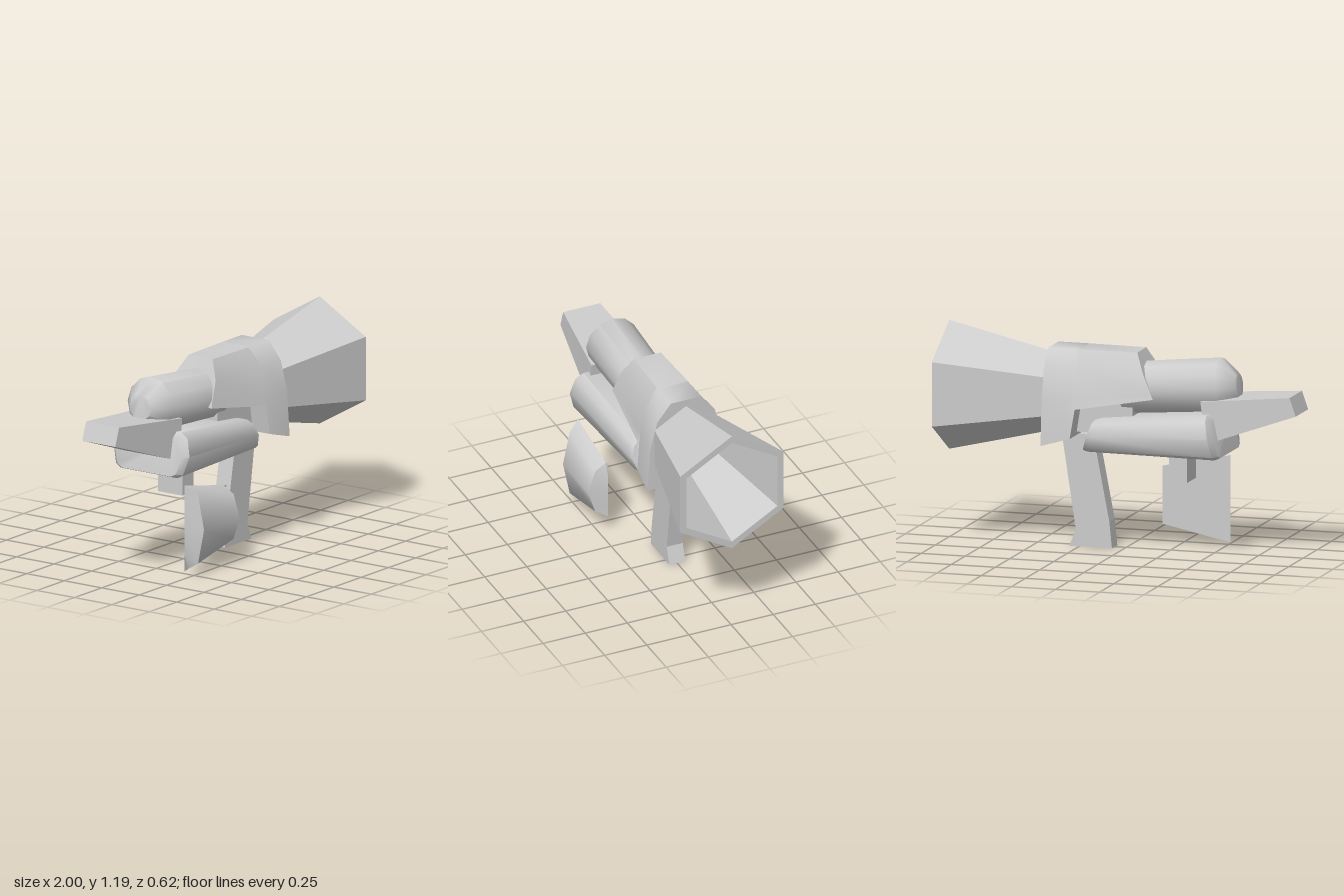
import * as THREE from 'three';
import { toCreasedNormals } from 'three/addons/utils/BufferGeometryUtils.js';

const FLAT = 0.1;

// Joins closed cross-sections (lists of [x, y, z]) running towards +x.
// Each loop runs top, +z side, bottom, -z side.
function loft(sections, crease = FLAT, caps = true) {
  const pos = [];
  const tri = (a, b, c) => pos.push(...a, ...b, ...c);
  const n = sections[0].length;
  for (let i = 0; i < sections.length - 1; i++) {
    for (let j = 0; j < n; j++) {
      const k = (j + 1) % n;
      const [a, b, c, d] = [sections[i][j], sections[i][k], sections[i + 1][k], sections[i + 1][j]];
      tri(a, b, c);
      tri(a, c, d);
    }
  }
  if (caps) {
    const s = sections[0], e = sections[sections.length - 1];
    for (let j = 1; j < n - 1; j++) {
      tri(s[0], s[j + 1], s[j]);
      tri(e[0], e[j], e[j + 1]);
    }
  }
  const g = new THREE.BufferGeometry();
  g.setAttribute('position', new THREE.Float32BufferAttribute(pos, 3));
  return toCreasedNormals(g, crease);
}

// Completes a half loop (top to bottom on the +z side) by mirroring it.
function mirrored(half, cz = -0.005) {
  const left = half.map(([x, y, z]) => [x, y, cz + z]);
  const right = half.map(([x, y, z]) => [x, y, cz - z]).reverse();
  return [...left, ...right];
}

// Regular polygon ring around the x axis, with a corner at the top.
function ring(x, y, r, sides, lean = 0) {
  return Array.from({ length: sides }, (_, i) => {
    const a = (i / sides) * Math.PI * 2;
    return [x + lean * r * Math.cos(a), y + r * Math.cos(a), -0.005 + r * Math.sin(a)];
  });
}

export function createModel() {
  const group = new THREE.Group();
  const grey = new THREE.MeshStandardMaterial({ color: 0xcccccc });
  grey.name = 'light grey';

  const add = (name, geometry) => {
    const mesh = new THREE.Mesh(geometry, grey);
    mesh.name = name;
    group.add(mesh);
    return mesh;
  };
  const box = (name, w, h, d, x, y, z) => add(name, new THREE.BoxGeometry(w, h, d)).position.set(x, y, z);

  // Flared hexagonal muzzle with a hollow mouth
  add('muzzle', loft([
    ring(0.41, 0.837, 0.215, 6),
    ring(1.0, 0.837, 0.354, 6),
    ring(1.0, 0.837, 0.312, 6),
    ring(0.42, 0.837, 0.175, 6),
  ]));

  // Arched sleeve with a slanted rear and a deeper front skirt
  const sleeve = (x, yb, w) => mirrored([
    [x, 1.09, 0.09], [x, 0.99, w * 0.74], [x, 0.83, w * 0.92], [x, yb, w],
  ]);
  add('sleeve', loft([
    mirrored([[-0.09, 1.09, 0.08], [-0.137, 0.99, 0.135], [-0.19, 0.875, 0.15], [-0.2, 0.85, 0.155]]),
    sleeve(0.225, 0.78, 0.205),
    sleeve(0.25, 0.62, 0.215),
    sleeve(0.41, 0.575, 0.23),
  ], 1.0));

  // Rounded rear barrel, sloping slightly
  add('barrel', loft([
    ring(-0.64, 0.925, 0.07, 12, 0.1),
    ring(-0.55, 0.925, 0.15, 12, 0.09),
    ring(0.0, 0.88, 0.14, 12, 0.09),
  ], 0.9));

  // Link between the sleeve and the lower housing
  box('link', 0.32, 0.2, 0.2, 0.09, 0.74, -0.005);

  // Wide lower housing with rounded edges and slanted ends
  const housing = (xb, xt, yb, yt, w) => mirrored(
    [[0.72, 1], [0.9, 0.88], [1, 0.5], [0.88, 0.08], [0.74, 0]].map(([fz, fy]) => [
      xb + (xt - xb) * fy, yb + (yt - yb) * fy, w * fz,
    ]));
  add('lowerHousing', loft([
    housing(-0.585, -0.545, 0.555, 0.76, 0.22),
    housing(-0.56, -0.515, 0.545, 0.79, 0.253),
    housing(0.16, 0.1, 0.545, 0.725, 0.212),
    housing(0.19, 0.135, 0.55, 0.715, 0.205),
  ], 0.95));

  // Tapered shoulder stock
  add('stock', loft([
    [[-0.965, 0.9, 0.09], [-1.0, 0.8, 0.09], [-1.0, 0.8, -0.13], [-0.965, 0.9, -0.13]],
    [[-0.47, 0.855, 0.15], [-0.5, 0.624, 0.15], [-0.5, 0.624, -0.16], [-0.47, 0.855, -0.16]],
  ]));

  // Short post under the housing
  box('post', 0.1, 0.2, 0.162, -0.32, 0.49, -0.003);

  // Angled pistol grip
  const outline = [[0.17, 0.62], [0.08, 0.15], [0.065, 0.005], [0.305, 0.005], [0.27, 0.1], [0.35, 0.63]];
  const gripShape = new THREE.Shape(outline.map(([x, y]) => new THREE.Vector2(x, y)));
  add('grip', new THREE.ExtrudeGeometry(gripShape, { depth: 0.095, bevelEnabled: false }))
    .position.set(0, -0.005, -0.05);

  // Separate domed side plate with a flat back
  const rim = (x, yt, yb) => [yt, yt * 0.8 + yb * 0.2, 0.26, yt * 0.2 + yb * 0.8, yb].map((y) => [x, y, 0.205]);
  const dome = (x, yt, yb, s) => [
    [x, yt, 0.205], [x, yt - 0.04, 0.27], [x, 0.26, s], [x, yb + 0.04, 0.27], [x, yb, 0.205],
  ];
  add('sidePlate', loft([
    rim(-0.525, 0.5, 0.02),
    dome(-0.49, 0.492, 0.027, 0.31),
    dome(-0.165, 0.425, 0.095, 0.31),
    rim(-0.14, 0.42, 0.1),
  ], 0.9, false));

  return group;
}
